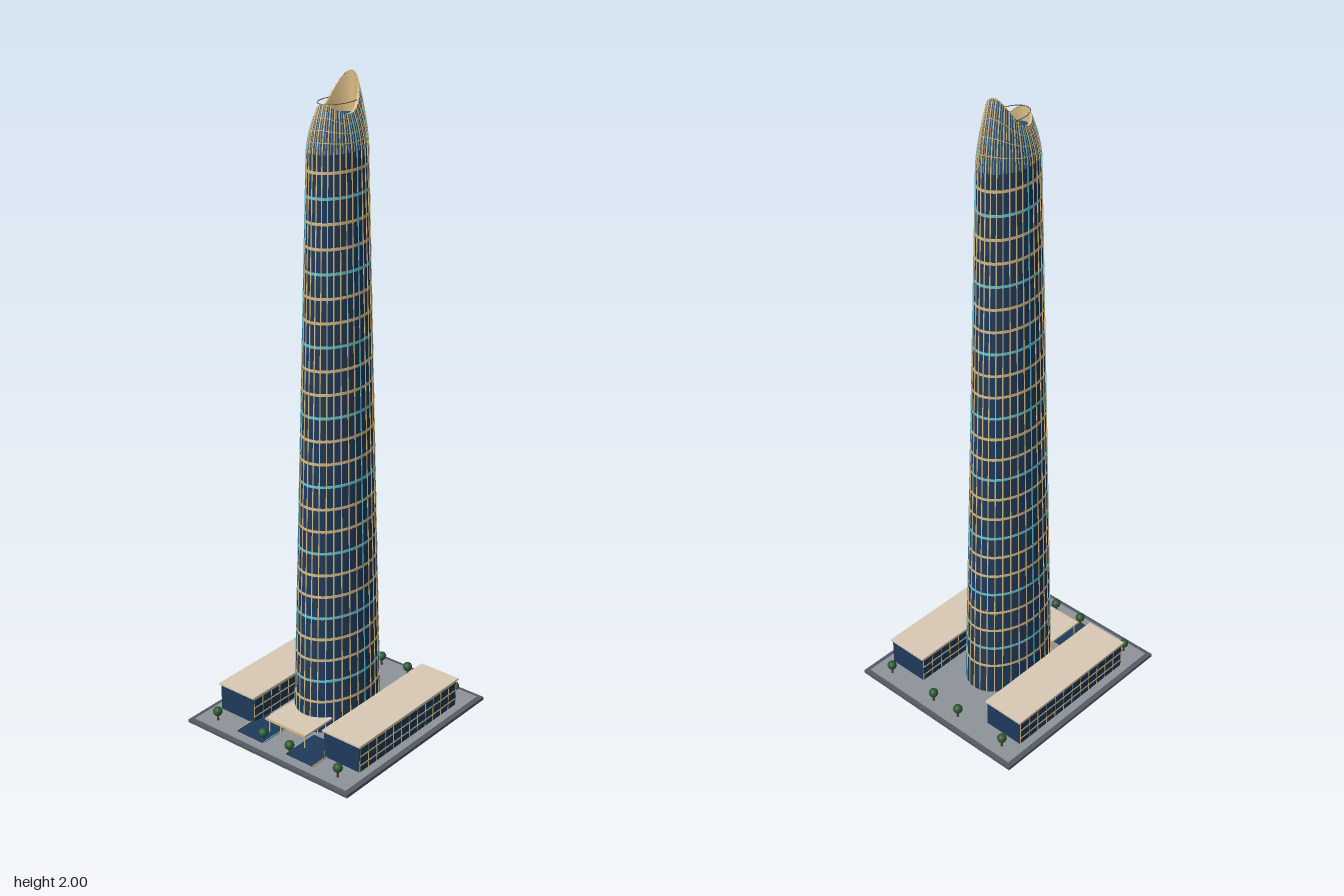
import * as THREE from 'three';
import { mergeVertices, mergeGeometries } from 'three/addons/utils/BufferGeometryUtils.js';

const mat = (name, color, side = THREE.FrontSide) => {
  const m = new THREE.MeshStandardMaterial({ color, side });
  m.name = name;
  return m;
};

// Surface from fn(u, v); u runs around, v runs up, faces point outward.
function grid(fn, nu, nv, smooth = true) {
  const pos = [], idx = [];
  for (let j = 0; j <= nv; j++)
    for (let i = 0; i <= nu; i++) pos.push(...fn(i / nu, j / nv));
  for (let j = 0; j < nv; j++)
    for (let i = 0; i < nu; i++) {
      const a = j * (nu + 1) + i, b = a + 1, c = a + nu + 1, d = c + 1;
      idx.push(a, c, b, b, c, d);
    }
  let g = new THREE.BufferGeometry();
  g.setAttribute('position', new THREE.Float32BufferAttribute(pos, 3));
  g.setIndex(idx);
  g = smooth ? mergeVertices(g, 1e-6) : g.toNonIndexed();
  g.computeVertexNormals();
  return g;
}

// Tower shape: straight taper to the shoulder, then a curved crown with a sloping, dipped rim.
const BASE = 0.012, SHOULDER = 1.8;
const rimY = (a) => {
  const c = Math.cos(a + 0.22);
  return 1.905 + 0.035 * c + 0.06 * c * c;
};
const mix = THREE.MathUtils.lerp;
function radii(t) {
  if (t <= 1) return [mix(0.162, 0.106, t), mix(0.111, 0.068, t)];
  const k = t - 1, e = 0.35 * k + 0.65 * k * k;
  return [mix(0.106, 0.072, e), mix(0.068, 0.045, e)];
}
function surface(a, t, out = 0, side = 0) {
  const [rx, rz] = radii(t);
  const y = t <= 1 ? mix(BASE, SHOULDER, t) : mix(SHOULDER, rimY(a), t - 1);
  const n = new THREE.Vector2(Math.cos(a) * rz, Math.sin(a) * rx).normalize();
  return [rx * Math.cos(a) + n.x * out - n.y * side, y, rz * Math.sin(a) + n.y * out + n.x * side];
}

// Vertical fin following the facade.
const fin = (a, w, d, t0 = 0, t1 = 2) => {
  const section = [[0, -w], [d, -w], [d, w], [0, w]];
  return grid((u, v) => {
    const [o, s] = section[Math.round(u * 3)];
    return surface(a, mix(t0, t1, v), o, s);
  }, 3, 20, false);
};

// Horizontal band wrapped around the facade at height parameter t.
const band = (t, h, d) => {
  const section = [[0, -h], [d, -h], [d, h], [0, h]];
  return grid((u, v) => {
    const [o, s] = section[Math.round(v * 3)];
    const p = surface(u * Math.PI * 2, t, o);
    p[1] += s;
    return p;
  }, 64, 3, false);
};

export function createModel() {
  const root = new THREE.Group();
  const glass = mat('navy glass', 0x1e3a5a, THREE.DoubleSide);
  const roofBlue = mat('roof blue', 0x285272, THREE.DoubleSide);
  const gold = mat('gold trim', 0xd8bb85, THREE.DoubleSide);
  const cyan = mat('cyan light', 0x62c6d6, THREE.DoubleSide);
  const stone = mat('tan stone', 0xd9cab5);
  const paving = mat('grey paving', 0x8f949c);
  const curb = mat('dark curb', 0x555a64);
  const leaf = mat('leaf green', 0x2c5633);
  const bark = mat('bark brown', 0x5a4030);

  const add = (name, geo, m, parent = root) => {
    const mesh = new THREE.Mesh(geo, m);
    mesh.name = name;
    parent.add(mesh);
    return mesh;
  };
  const group = (name) => {
    const g = new THREE.Group();
    g.name = name;
    root.add(g);
    return g;
  };
  // Box given by its limits on each axis
  const boxGeo = (x0, x1, y0, y1, z0, z1) =>
    new THREE.BoxGeometry(x1 - x0, y1 - y0, z1 - z0).translate((x0 + x1) / 2, (y0 + y1) / 2, (z0 + z1) / 2);

  // Plaza
  add('plazaBase', boxGeo(-0.344, 0.344, 0, 0.01, -0.317, 0.317), curb);
  add('plazaPaving', boxGeo(-0.329, 0.329, 0.01, 0.013, -0.302, 0.302), paving);

  // Tower shell
  const tower = group('tower');
  add('towerGlass', grid((u, v) => surface(u * Math.PI * 2, v), 64, 25), glass, tower);
  add('crownGlass', grid((u, v) => surface(u * Math.PI * 2, 1 + v), 64, 10), roofBlue, tower);

  // Fins and floor bands, sorted by colour; every third floor is cyan
  const goldParts = [], cyanParts = [];
  const FINS = 32;
  for (let i = 0; i < FINS; i++)
    (i % 16 === 8 || i % 16 === 3 ? cyanParts : goldParts).push(fin((i / FINS) * Math.PI * 2, 0.0016, 0.002));
  for (let i = 0; i < 24; i++) {
    const t = (0.12 + i * 0.0709 - BASE) / (SHOULDER - BASE);
    (i % 3 === 1 ? cyanParts : goldParts).push(band(t, 0.0042, 0.0012));
  }
  // Close mesh of the crown
  for (let i = 0; i < 32; i++) goldParts.push(fin(((i + 0.5) / 32) * Math.PI * 2, 0.0006, 0.001, 1, 2));
  for (const k of [0.25, 0.5, 0.75]) goldParts.push(band(1 + k, 0.001, 0.001));
  add('goldFinsAndBands', mergeGeometries(goldParts), gold, tower);
  add('cyanFinsAndBands', mergeGeometries(cyanParts), cyan, tower);

  // Crown lining, rim and sunken roof
  const ROOF = 1.885;
  add('crownLining', grid((u, v) => {
    const a = -u * Math.PI * 2;
    return [mix(0.066, 0.067, v) * Math.cos(a), mix(ROOF, rimY(a), v), mix(0.036, 0.04, v) * Math.sin(a)];
  }, 64, 4), gold, tower);
  add('crownRim', grid((u, v) => {
    const a = u * Math.PI * 2, k = 1 - v;
    return [mix(0.067, 0.0745, k) * Math.cos(a), rimY(a) + 0.0005, mix(0.04, 0.0475, k) * Math.sin(a)];
  }, 64, 1), gold, tower);
  const roof = add('towerRoof', new THREE.CylinderGeometry(1, 1, 0.006, 64), roofBlue, tower);
  roof.scale.set(0.067, 1, 0.037);
  roof.position.y = ROOF;
  const rail = add('roofRail', new THREE.TorusGeometry(0.07, 0.0012, 6, 64).rotateX(Math.PI / 2), curb, tower);
  rail.scale.z = 0.043 / 0.07;
  rail.position.y = 1.93;

  // Two long side blocks
  for (const s of [1, -1]) {
    const block = group(s > 0 ? 'frontBlock' : 'backBlock');
    const z = s * 0.2085, x0 = -0.235, x1 = 0.25, hz = 0.0675;
    add('blockGlass', boxGeo(x0, x1, 0.013, 0.1, z - hz, z + hz), glass, block);
    add('blockRoof', boxGeo(x0 - 0.005, x1 + 0.005, 0.1, 0.106, z - hz - 0.004, z + hz + 0.004), stone, block);
    const trim = [];
    for (const y of [0.035, 0.066, 0.096])
      trim.push(boxGeo(x0 + 0.001, x1 - 0.001, y - 0.002, y + 0.002, z - hz - 0.0015, z + hz + 0.0015));
    for (let i = 0; i <= 12; i++) {
      const x = mix(x0 + 0.002, x1 - 0.002, i / 12);
      trim.push(boxGeo(x - 0.001, x + 0.001, 0.013, 0.1, z - hz - 0.0012, z + hz + 0.0012));
    }
    add('blockTrim', mergeGeometries(trim), gold, block);

    // Reflecting pool with edging
    const pool = group(s > 0 ? 'frontPool' : 'backPool');
    add('poolWater', boxGeo(-0.3, -0.17, 0.013, 0.0165, s * 0.0985 - 0.052, s * 0.0985 + 0.052), glass, pool);
    add('poolOuterEdge', boxGeo(-0.3, -0.17, 0.013, 0.018, s * 0.1515 - 0.001, s * 0.1515 + 0.001), gold, pool);
    add('poolInnerEdge', boxGeo(-0.3, -0.17, 0.013, 0.018, s * 0.0455 - 0.001, s * 0.0455 + 0.001), cyan, pool);
  }

  // Entrance canopy on slim posts
  const canopy = group('entranceCanopy');
  add('canopyRoof', boxGeo(-0.249, -0.122, 0.06, 0.066, -0.079, 0.079), stone, canopy);
  add('canopyEdge', boxGeo(-0.251, -0.249, 0.059, 0.067, -0.08, 0.08), gold, canopy);
  for (const z of [-0.07, -0.025, 0.025, 0.07])
    add('canopyPost', new THREE.CylinderGeometry(0.002, 0.002, 0.047, 8).translate(-0.242, 0.0365, z), gold, canopy);

  // Trees
  for (const x of [-0.292, 0.292])
    for (const z of [-0.24, -0.053, 0.053, 0.24]) {
      const tree = group('tree');
      tree.position.set(x, 0.013, z);
      add('trunk', new THREE.CylinderGeometry(0.003, 0.004, 0.024, 8).translate(0, 0.012, 0), bark, tree);
      add('leaves', new THREE.SphereGeometry(0.015, 14, 10).translate(0, 0.032, 0), leaf, tree);
    }
  return root;
}
